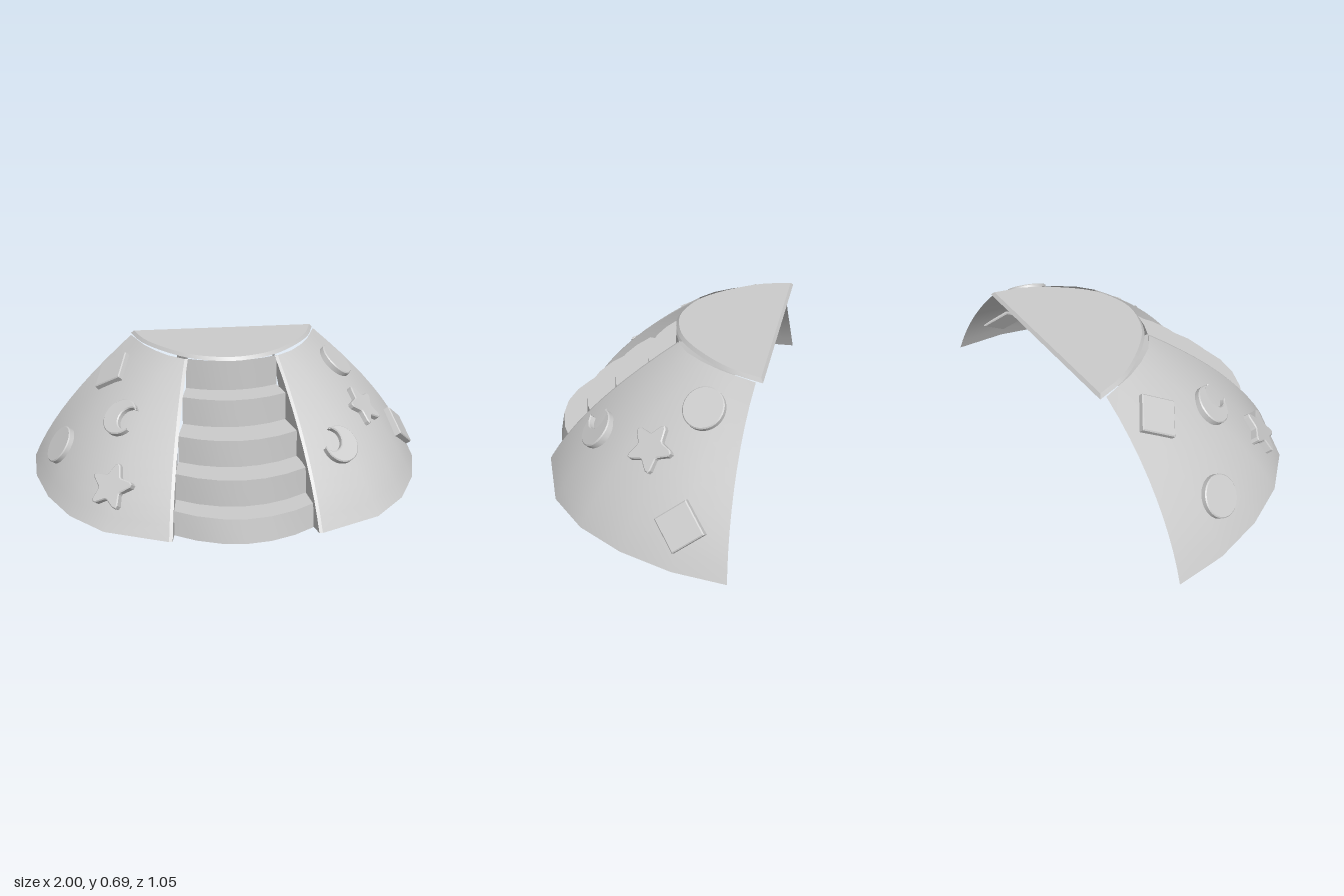
import * as THREE from 'three';
import { toCreasedNormals } from 'three/addons/utils/BufferGeometryUtils.js';

const V = (x, y, z) => new THREE.Vector3(x, y, z);
const lerp = THREE.MathUtils.lerp;
const thin = new THREE.MeshStandardMaterial({ color: 0xcccccc, side: THREE.DoubleSide });
const solid = new THREE.MeshStandardMaterial({ color: 0xcccccc });

// Plan outlines (x, z) of one half of the mound, from the stairs to the back edge
const FOOT = [[0.35, 0.485], [0.64, 0.36], [0.8, 0.19], [0.91, -0.02], [0.98, -0.26], [1, -0.5]];
const CREST = [[0.225, -0.11], [0.3, -0.17], [0.36, -0.25], [0.41, -0.34], [0.44, -0.42], [0.47, -0.5]];
const Y0 = 0.02, Y1 = 0.67;

function along(pts, u) {
  const t = u * (pts.length - 1), i = Math.min(Math.floor(t), pts.length - 2);
  return [0, 1].map(k => lerp(pts[i][k], pts[i + 1][k], t - i));
}

// Point on the bulging mound: u runs round it, v runs up it, side is +1 or -1
function mound(side, u, v) {
  const a = along(FOOT, u), b = along(CREST, u);
  const x = lerp(a[0], b[0], v), z = lerp(a[1], b[1], v);
  const bulge = 0.065 * 4 * v * (1 - v) / Math.hypot(x, z + 0.75);
  return V(side * (x + x * bulge), lerp(Y0, Y1, v), z + (z + 0.75) * bulge);
}

// Surface from a function of two grid indices
function grid(f, nu, nv, crease) {
  const pos = [], idx = [];
  for (let j = 0; j <= nv; j++) for (let i = 0; i <= nu; i++) pos.push(...f(i, j).toArray());
  for (let j = 0; j < nv; j++) for (let i = 0; i < nu; i++) {
    const a = j * (nu + 1) + i, c = a + nu + 1;
    idx.push(a, a + 1, c, a + 1, c + 1, c);
  }
  const g = new THREE.BufferGeometry();
  g.setAttribute('position', new THREE.Float32BufferAttribute(pos, 3));
  g.setIndex(idx);
  g.computeVertexNormals();
  return toCreasedNormals(g, crease);
}

// Outlines of the climbing holds
function discShape() {
  return new THREE.Shape().absarc(0, 0, 0.095, 0, Math.PI * 2);
}
function diamondShape() {
  const r = 0.115;
  return new THREE.Shape([[r, 0], [0, r], [-r, 0], [0, -r]].map(p => new THREE.Vector2(...p)));
}
function starShape() {
  const pts = [];
  for (let i = 0; i < 5; i++) {
    const a = Math.PI / 2 + i * Math.PI * 0.4;
    for (const [d, r] of [[-0.13, 0.104], [0, 0.112], [0.13, 0.104], [0.55, 0.064], [0.7, 0.064]])
      pts.push(new THREE.Vector2(r * Math.cos(a + d), r * Math.sin(a + d)));
  }
  return new THREE.Shape(pts);
}
function crescentShape() {
  const s = new THREE.Shape();
  s.absarc(0, 0, 0.092, 0.61, Math.PI * 2 - 0.61, false);
  s.absarc(0.055, 0, 0.057, -1.2, 1.2, true);
  return s;
}

// Extruded hold set on the mound nearest to a target point, spun about the normal
function hold(name, shape, target, spin) {
  const side = Math.sign(target.x);
  let best = Infinity, bu = 0, bv = 0;
  for (let u = 0.02; u < 0.98; u += 0.02) for (let v = 0.02; v < 0.98; v += 0.02) {
    const d = mound(side, u, v).distanceToSquared(target);
    if (d < best) { best = d; bu = u; bv = v; }
  }
  const p = mound(side, bu, bv), e = 0.06;
  const du = mound(side, bu + e, bv).sub(mound(side, bu - e, bv));
  const dv = mound(side, bu, bv + 0.02).sub(mound(side, bu, bv - 0.02));
  const n = du.cross(dv).normalize();
  if (n.y < 0) n.negate();
  const right = V(0, 1, 0).cross(n).normalize(), up = n.clone().cross(right);
  const g = new THREE.ExtrudeGeometry(shape, {
    depth: 0.034, curveSegments: 24, bevelThickness: 0.005, bevelSize: 0.005, bevelOffset: -0.005, bevelSegments: 1,
  });
  g.rotateZ(spin).translate(0, 0, -0.013);
  g.applyMatrix4(new THREE.Matrix4().makeBasis(right, up, n).setPosition(p));
  const m = new THREE.Mesh(toCreasedNormals(g, 0.5), solid);
  m.name = name;
  return m;
}

export function createModel() {
  const model = new THREE.Group();
  model.name = 'climbingMound';
  const add = (name, geo, mat = thin) => {
    const m = new THREE.Mesh(geo, mat);
    m.name = name;
    model.add(m);
  };

  // Curved climbing walls and the stair side panels behind their front edges
  for (const side of [1, -1]) {
    const tag = side > 0 ? 'left' : 'right', rows = 10;
    add(tag + 'ClimbingWall', grid((i, j) => mound(side, i / 5, j / rows), 5, rows, 1));
    const back = [V(side * 0.3, 0, 0.28), V(side * 0.235, 0.66, -0.5)];
    add(tag + 'StairPanel', grid((i, j) => {
      const v = j / rows, edge = mound(side, 0, v);
      if (i === 2) return back[0].clone().lerp(back[1], v);
      return i ? edge.add(V(-side * 0.016, 0, 0)) : edge;
    }, 2, rows, 0.5));
  }

  // Bowed stairs: a (z, y) profile swept across between the panels
  const PROFILE = [[0.525, 0.01], [0.505, 0.125], [0.385, 0.125], [0.38, 0.255], [0.24, 0.255],
    [0.235, 0.385], [0.075, 0.385], [0.07, 0.52], [-0.06, 0.52], [-0.06, 0.67]];
  add('stairs', grid((i, j) => {
    const [z, y] = PROFILE[j], x = (i / 6 - 0.5) * (0.425 + 0.4 * (z + 0.1));
    return V(x, y, z - 1.1 * x * x);
  }, 12 / 2, PROFILE.length - 1, 0.6));

  // Platform: thin D-shaped plate with a sloped rim
  const half = [[0.47, -0.53], [0.42, -0.38], [0.325, -0.24], [0.215, -0.13], [0.12, -0.08]];
  const curve = [...half, [0, -0.055], ...half.map(([x, z]) => [-x, z]).reverse()];
  const rim = new THREE.CatmullRomCurve3(curve.map(([x, z]) => V(x, -z, 0))).getPoints(32);
  const plate = new THREE.ExtrudeGeometry(new THREE.Shape(rim.map(p => new THREE.Vector2(p.x, p.y))),
    { depth: 0.016, bevelEnabled: false });
  plate.rotateX(-Math.PI / 2).translate(0, 0.67, 0);
  const pos = plate.attributes.position;
  for (let i = 0; i < pos.count; i++) if (pos.getY(i) > 0.68) {
    pos.setX(i, pos.getX(i) * 0.965);
    pos.setZ(i, -0.3 + (pos.getZ(i) + 0.3) * 0.95);
  }
  plate.computeVertexNormals();
  add('platform', toCreasedNormals(plate, 0.5), solid);

  // Climbing holds on both walls
  const disc = discShape(), diamond = diamondShape(), star = starShape(), moon = crescentShape();
  model.add(
    hold('leftDiscHold', disc, V(0.55, 0.57, -0.305), 0),
    hold('leftStarHold', star, V(0.65, 0.38, -0.1), -0.15),
    hold('leftCrescentHold', moon, V(0.47, 0.33, 0.2), 2.5),
    hold('leftDiamondHold', diamond, V(0.875, 0.19, -0.285), 0),
    hold('rightDiamondHold', diamond, V(-0.575, 0.55, -0.31), 0),
    hold('rightCrescentHold', moon, V(-0.535, 0.42, 0.01), 0.1),
    hold('rightDiscHold', disc, V(-0.835, 0.22, -0.19), 0),
    hold('rightStarHold', star, V(-0.585, 0.19, 0.24), 0),
  );
  return model;
}
